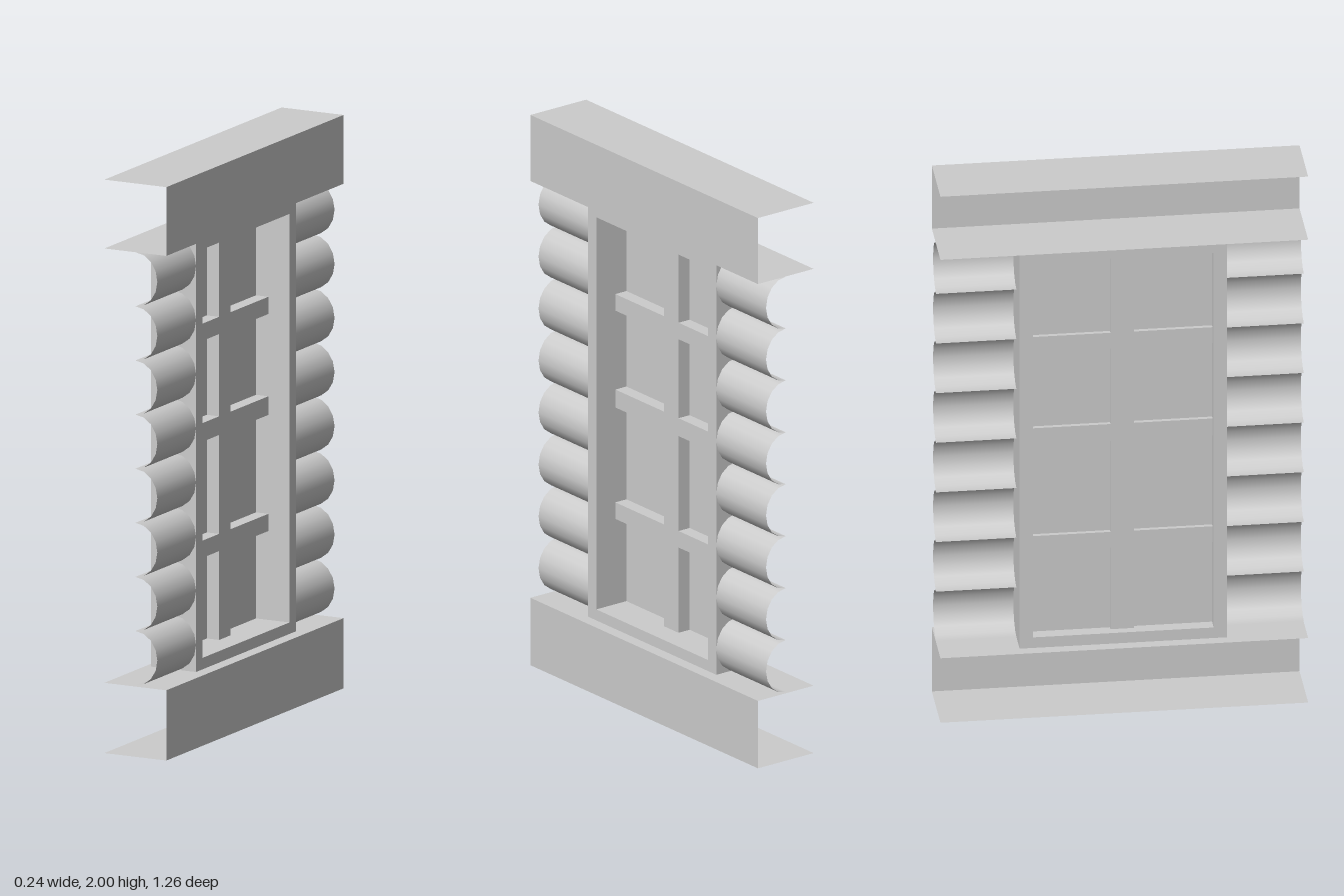
import * as THREE from 'three';

const solid = new THREE.MeshStandardMaterial({ color: 0xcccccc });
const sheet = new THREE.MeshStandardMaterial({ color: 0xcccccc, side: THREE.DoubleSide });

export function createModel() {
  const group = new THREE.Group();

  const add = (name, geometry, material, x = 0, y = 0, z = 0) => {
    const mesh = new THREE.Mesh(geometry, material);
    mesh.name = name;
    mesh.position.set(x, y, z);
    group.add(mesh);
    return mesh;
  };
  // Box given by its limits on each axis
  const box = (name, x0, x1, y0, y1, z0, z1) =>
    add(name, new THREE.BoxGeometry(x1 - x0, y1 - y0, z1 - z0), solid,
      (x0 + x1) / 2, (y0 + y1) / 2, (z0 + z1) / 2);

  // Beams: open channels with a top, a bottom and an outer (+x) face
  const halfX = 0.12, length = 1.26;
  const beam = (name, y0, y1) => {
    const flat = new THREE.PlaneGeometry(halfX * 2, length).rotateX(-Math.PI / 2);
    add(name + 'Top', flat, sheet, 0, y1, 0);
    add(name + 'Bottom', flat.clone().rotateZ(Math.PI), sheet, 0, y0, 0);
    add(name + 'Face', new THREE.PlaneGeometry(length, y1 - y0).rotateY(Math.PI / 2), sheet,
      halfX, (y0 + y1) / 2, 0);
  };
  beam('lowerBeam', 0, 0.245);
  beam('upperBeam', 1.76, 2);

  // Logs: stacked half-round shells on both sides of the window
  const bottom = 0.25, top = 1.76, count = 8;
  const pitch = (top - bottom) / count;
  const logGeometry = new THREE.CylinderGeometry(1, 1, 0.28, 8, 1, true, 0, Math.PI)
    .rotateX(Math.PI / 2)
    .scale(0.085, pitch / 2, 1);
  for (const side of [1, -1]) {
    for (let i = 0; i < count; i++) {
      add(side > 0 ? 'frontLog' : 'backLog', logGeometry, sheet,
        0, bottom + pitch * (i + 0.5), side * 0.49);
    }
  }

  // Window frame: rectangle with an opening, extruded through the wall
  const rect = (Type, w, y0, y1) => {
    const r = new Type();
    r.moveTo(-w, y0);
    r.lineTo(w, y0);
    r.lineTo(w, y1);
    r.lineTo(-w, y1);
    r.closePath();
    return r;
  };
  const openZ = 0.31, openY0 = 0.29, openY1 = 1.715;
  const frame = rect(THREE.Shape, 0.355, bottom, top);
  frame.holes.push(rect(THREE.Path, openZ, openY0, openY1));
  add('windowFrame',
    new THREE.ExtrudeGeometry(frame, { depth: 0.175, bevelEnabled: false }).rotateY(Math.PI / 2),
    solid, -0.09, 0, 0);

  // Pane, recessed towards the inner side
  add('pane', new THREE.PlaneGeometry(openZ * 2, openY1 - openY0).rotateY(Math.PI / 2), sheet,
    -0.045, (openY0 + openY1) / 2, 0);

  // Glazing bars: one upright and three crossbars
  const barX0 = -0.06, barX1 = 0.003;
  box('uprightBar', barX0, barX1, openY0, openY1, -0.04, 0.04);
  for (const [y0, y1] of [[0.6, 0.66], [1.005, 1.07], [1.357, 1.417]]) {
    for (const [z0, z1] of [[-openZ, -0.04], [0.04, openZ]]) {
      box('crossBar', barX0, barX1, y0, y1, z0, z1);
    }
  }

  return group;
}
